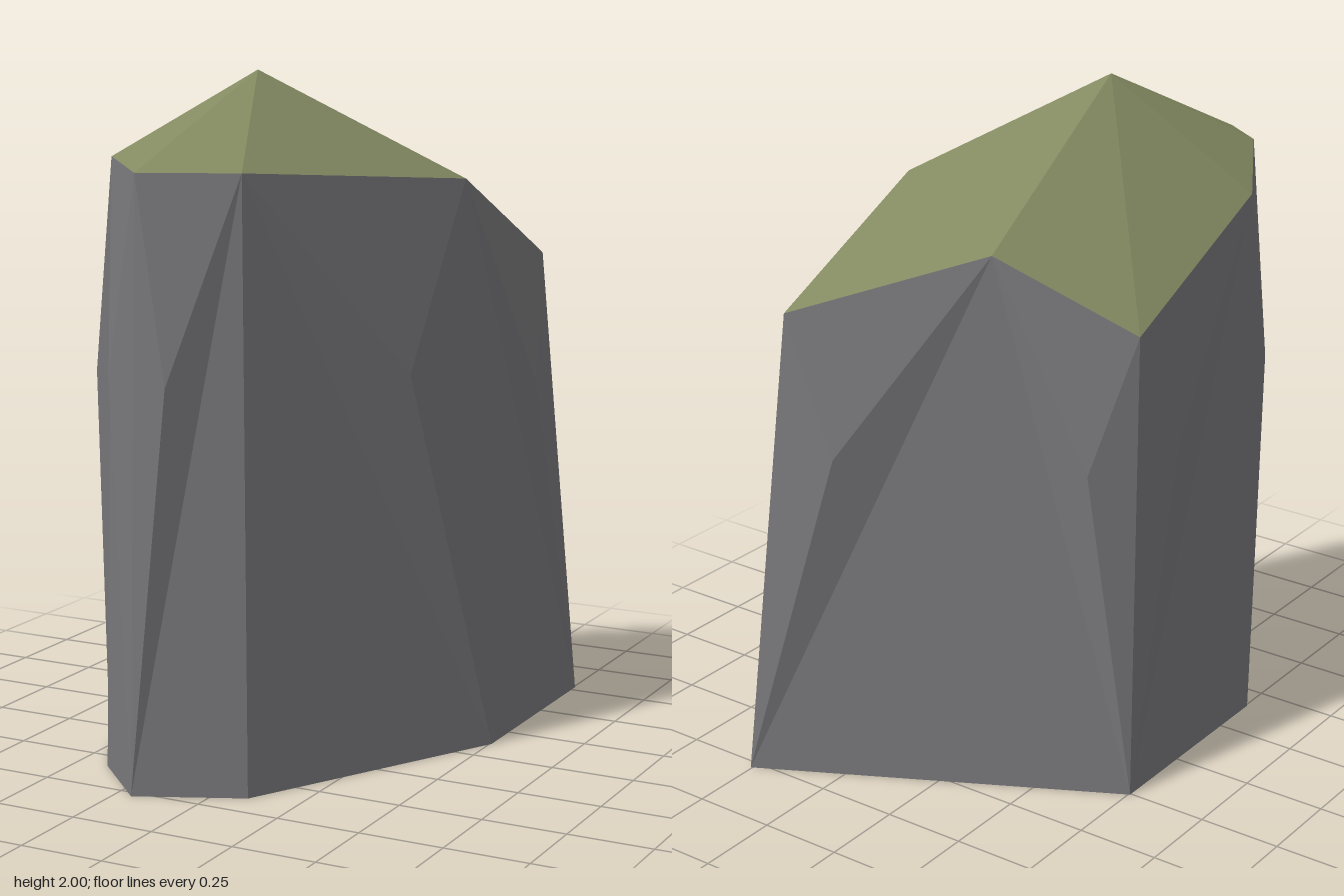
import * as THREE from 'three';

const rockGrey = new THREE.MeshStandardMaterial({ color: 0x77777a });
rockGrey.name = 'rockGrey';
const mossGreen = new THREE.MeshStandardMaterial({ color: 0x838a61 });
mossGreen.name = 'mossGreen';

// Rings run counterclockwise seen from above, starting at the back right corner
const base = [
  [-0.505, 0, -0.255], [-0.505, 0, 0.405], [-0.4, 0, 0.585], [-0.2, 0, 0.78],
  [0.1, 0, 0.645], [0.505, 0, -0.12], [0.505, 0, -0.78],
];
const rim = [
  [-0.46, 1.395, -0.17], [-0.46, 1.66, 0.41], [-0.365, 1.77, 0.57], [-0.19, 1.745, 0.735],
  [0.075, 1.745, 0.615], [0.43, 1.69, -0.06], [0.43, 1.415, -0.635], [-0.09, 1.61, -0.355],
];
const apex = [-0.09, 2, 0.225];

// One chipped bulge per side, leaning towards one base corner
const bulges = [
  { corner: 0, at: [-0.487, 1.02, 0.0] },
  { corner: 1, at: [-0.483, 1.145, 0.478] },
  { corner: 3, at: [-0.285, 1.17, 0.73] },
  { corner: 3, at: [-0.09, 1.165, 0.755] },
  { corner: 5, at: [0.36, 1.147, 0.152] },
  { corner: 6, at: [0.478, 1.035, -0.49] },
  { corner: 6, at: [0.265, 1.008, -0.64] },
  { corner: 0, at: [-0.378, 1.0, -0.303] },
];

// Separate triangles give flat facets
function facetMesh(name, triangles, material) {
  const geometry = new THREE.BufferGeometry();
  geometry.setAttribute('position', new THREE.Float32BufferAttribute(triangles.flat(2), 3));
  geometry.computeVertexNormals();
  const mesh = new THREE.Mesh(geometry, material);
  mesh.name = name;
  return mesh;
}

export function createModel() {
  const group = new THREE.Group();
  group.name = 'mossyRock';
  const sides = [], moss = [], underside = [];

  bulges.forEach(({ corner, at }, i) => {
    const j = (i + 1) % 8;
    const left = rim[i], right = rim[j], foot = base[corner];
    // Facets around the bulge
    sides.push([left, at, right], [left, foot, at], [at, foot, right]);
    // Large lower facet between two base corners
    if (i < 6) sides.push([base[i], base[j], corner === i ? right : left]);
    // Moss cap
    moss.push([left, right, apex]);
  });
  // Broad back facet
  sides.push([base[6], base[0], rim[7]]);

  for (let i = 1; i < 6; i++) underside.push([base[0], base[i + 1], base[i]]);

  group.add(
    facetMesh('rockSides', sides, rockGrey),
    facetMesh('mossCap', moss, mossGreen),
    facetMesh('rockUnderside', underside, rockGrey),
  );
  return group;
}
